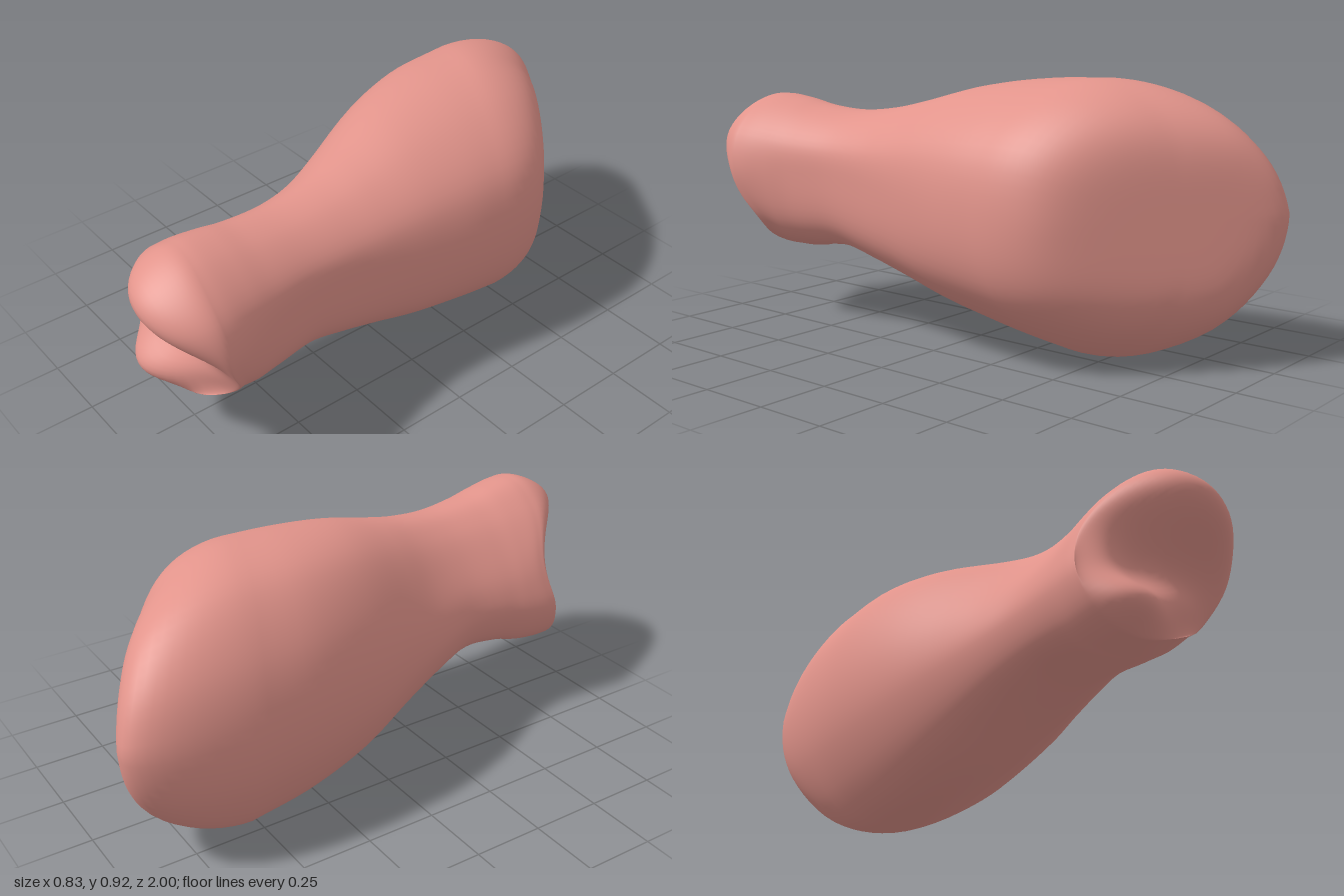
import * as THREE from 'three';
import { mergeVertices } from 'three/addons/utils/BufferGeometryUtils.js';

const SEG = 72;
const { lerp, smoothstep } = THREE.MathUtils;

// Closed outlines within a -1..1 box, counter-clockwise from +x
const closed = pts => new THREE.CatmullRomCurve3(
  pts.map(([x, y]) => new THREE.Vector3(x, y, 0)), true);
const bulbOutline = closed([[1, 0], [0.91, 0.5], [0.52, 0.85], [0, 1], [-0.53, 0.9], [-0.88, 0.52],
  [-1, 0.03], [-0.91, -0.46], [-0.56, -0.92], [-0.12, -1], [0.5, -0.76], [0.89, -0.43]]);
const neckOutline = closed([[1, 0.05], [0.94, 0.52], [0.54, 0.9], [0.05, 1], [-0.32, 0.82], [-0.66, 0.46],
  [-0.94, 0], [-1, -0.4], [-0.76, -0.86], [-0.2, -1], [0.6, -0.9], [0.91, -0.58]]);
const headOutline = closed([[0.98, 0.08], [0.87, 0.54], [0.44, 0.91], [0, 0.99], [-0.39, 0.78], [-0.7, 0.44],
  [-0.92, 0], [-1, -0.42], [-0.8, -0.84], [-0.3, -1], [0.53, -0.7], [0.81, -0.42]]);

// Body stations: z at x = 0, skew of z by x, x range, y range
const stations = [
  [-0.45, 0.37, -0.42, 0.385, 0, 0.92],
  [-0.25, 0.25, -0.395, 0.38, 0.03, 0.91],
  [-0.05, 0.15, -0.335, 0.36, 0.09, 0.88],
  [0.15, 0.05, -0.24, 0.335, 0.18, 0.825],
  [0.3, 0, -0.18, 0.32, 0.24, 0.79],
  [0.45, 0, -0.14, 0.32, 0.28, 0.775],
  [0.6, 0, -0.14, 0.345, 0.268, 0.785],
  [0.7, 0, -0.15, 0.375, 0.242, 0.805],
  [0.78, 0, -0.156, 0.403, 0.232, 0.818],
  [0.83, 0, -0.155, 0.415, 0.23, 0.82],
];
const track = (a, b, c) => new THREE.CatmullRomCurve3(
  stations.map(s => new THREE.Vector3(s[a], s[b], s[c])), false, 'catmullrom', 0.5);
const xTrack = track(2, 3, 0);
const yTrack = track(4, 5, 1);

const bump = (x, y, cx, cy, wx, wy) => Math.exp(-(((x - cx) / wx) ** 2) - ((y - cy) / wy) ** 2);

// The front rim reaches forward above, and back at the side notch and upper left
const rimShift = (x, y) => 0.02 * bump(x, y, 0.33, 0.72, 0.2, 0.15)
  - 0.06 * bump(x, y, 0.33, 0.37, 0.13, 0.1)
  - 0.05 * bump(x, y, -0.13, 0.58, 0.12, 0.15);

// One cross-section at t (0 rear, 1 front), shrunk to its middle by s
function section(t, s = 1) {
  const X = xTrack.getPoint(t), Y = yTrack.getPoint(t);
  const toNeck = smoothstep(t, 0.08, 0.5), toHead = smoothstep(t, 0.6, 0.95);
  const shift = smoothstep(t, 0.65, 1);
  const ring = [];
  for (let j = 0; j < SEG; j++) {
    const p = bulbOutline.getPoint(j / SEG)
      .lerp(neckOutline.getPoint(j / SEG), toNeck)
      .lerp(headOutline.getPoint(j / SEG), toHead);
    const x = (X.x + X.y) / 2 + s * p.x * (X.y - X.x) / 2;
    const y = (Y.x + Y.y) / 2 + s * p.y * (Y.y - Y.x) / 2;
    ring.push(new THREE.Vector3(x, y, X.z + Y.z * x + shift * rimShift(x, y)));
  }
  return ring;
}

// Front face: a tilted upper ridge and a small lower lobe with a notch between them
const frontHeight = (x, y) => 0.77
  + 0.25 * bump(x, y + 0.25 * (x - 0.21), 0.21, 0.71, 0.34, 0.18)
  + 0.17 * bump(x, y, -0.01, 0.3, 0.18, 0.11)
  + 0.03 * bump(x, y, 0.2, 0.39, 0.12, 0.07)
  + 0.04 * bump(x, y, -0.07, 0.47, 0.09, 0.12);

// Slanted flat rear face: tight corner on the right, rounder above and below
function rearBlend(s, x, y) {
  const v = Math.abs(y - 0.5) / 0.46;
  const corner = 6 + 5 * Math.max(0, x / 0.385);
  return Math.sqrt(1 - s ** Math.max(2, corner - (y > 0.5 ? 3.5 : 4) * v));
}

function bodyGeometry() {
  const rings = [];
  const CAP = 20, BODY = 50;
  // Rear face
  for (let i = 0; i < CAP; i++) {
    const s = Math.sin(i / CAP * Math.PI / 2);
    const ring = section(0, s);
    for (const p of ring) p.z = lerp(p.z, -0.795 + 0.77 * p.x, rearBlend(s, p.x, p.y));
    rings.push(ring);
  }
  // Tapering body
  for (let i = 0; i <= BODY; i++) rings.push(section(i / BODY));
  // Lobed front face
  for (let i = CAP - 1; i >= 0; i--) {
    const s = Math.sin(i / CAP * Math.PI / 2);
    const k = Math.sqrt(1 - s ** 4);
    const ring = section(1, s);
    for (const p of ring) p.z = lerp(p.z, frontHeight(p.x, p.y), k);
    rings.push(ring);
  }
  const pos = [], idx = [];
  rings.forEach((ring, i) => ring.forEach((p, j) => {
    pos.push(p.x, p.y, p.z);
    if (i === rings.length - 1) return;
    const n = (j + 1) % SEG;
    const a = i * SEG + j, b = i * SEG + n, c = b + SEG, d = a + SEG;
    idx.push(a, b, c, a, c, d);
  }));
  const geo = new THREE.BufferGeometry();
  geo.setAttribute('position', new THREE.Float32BufferAttribute(pos, 3));
  geo.setIndex(idx);
  const welded = mergeVertices(geo, 1e-5);
  welded.computeVertexNormals();
  return welded;
}

export function createModel() {
  const group = new THREE.Group();
  const body = new THREE.Mesh(bodyGeometry(), new THREE.MeshStandardMaterial({ color: 0xe2948b }));
  body.name = 'lobedBody';
  group.add(body);
  return group;
}
